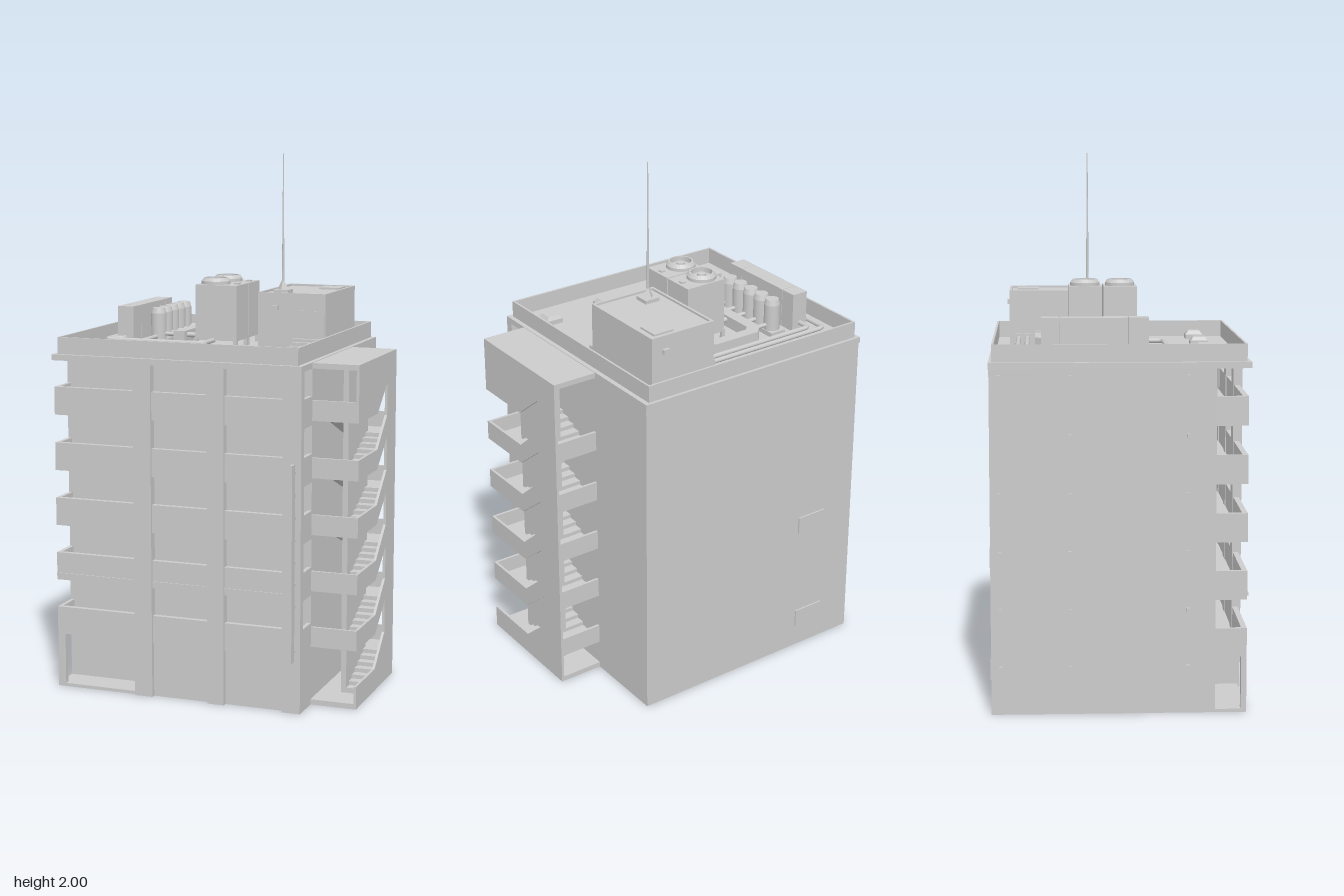
import * as THREE from 'three';

const mat = new THREE.MeshStandardMaterial({ color: 0xcccccc, flatShading: true });
const smooth = new THREE.MeshStandardMaterial({ color: 0xcccccc });

export function createModel() {
  const root = new THREE.Group();
  let group = root;
  const part = (name) => {
    group = new THREE.Group();
    group.name = name;
    root.add(group);
  };
  const add = (name, geo, m = mat) => {
    const mesh = new THREE.Mesh(geo, m);
    mesh.name = name;
    group.add(mesh);
    return mesh;
  };
  // Box given by its extents
  const box = (name, x0, x1, y0, y1, z0, z1) =>
    add(name, new THREE.BoxGeometry(x1 - x0, y1 - y0, z1 - z0))
      .position.set((x0 + x1) / 2, (y0 + y1) / 2, (z0 + z1) / 2);
  const cyl = (name, x, z, y0, y1, r0, r1 = r0, seg = 24) =>
    add(name, new THREE.CylinderGeometry(r1, r0, y1 - y0, seg), seg > 8 ? smooth : mat)
      .position.set(x, (y0 + y1) / 2, z);
  // Side profile of [z, y] points, extruded from x0 to x1
  const profile = (name, pts, x0, x1) => {
    const shape = new THREE.Shape(pts.map(([z, y]) => new THREE.Vector2(-z, y)));
    const geo = new THREE.ExtrudeGeometry(shape, { depth: x1 - x0, bevelEnabled: false });
    add(name, geo.rotateY(Math.PI / 2)).position.x = x0;
  };
  // Four thin walls around a rectangle
  const walls = (name, x0, x1, y0, y1, z0, z1, t) => {
    box(name, x0, x1, y0, y1, z0, z0 + t);
    box(name, x0, x1, y0, y1, z1 - t, z1);
    box(name, x0, x0 + t, y0, y1, z0 + t, z1 - t);
    box(name, x1 - t, x1, y0, y1, z0 + t, z1 - t);
  };
  // Round pipe through [x, z] points at one height, with rounded corners
  const pipe = (name, pts, y, r) => {
    const v = pts.map(([x, z]) => new THREE.Vector3(x, y, z));
    const path = new THREE.CurvePath();
    let from = v[0];
    for (let i = 1; i < v.length - 1; i++) {
      const a = v[i].clone().add(v[i - 1].clone().sub(v[i]).setLength(0.02));
      const b = v[i].clone().add(v[i + 1].clone().sub(v[i]).setLength(0.02));
      path.add(new THREE.LineCurve3(from, a));
      path.add(new THREE.QuadraticBezierCurve3(a, v[i], b));
      from = b;
    }
    path.add(new THREE.LineCurve3(from, v[v.length - 1]));
    add(name, new THREE.TubeGeometry(path, v.length > 2 ? 120 : 2, r, 10), smooth);
  };

  // Main block with its roof slab
  part('mainBlock');
  box('body', -0.57, 0.4, 0, 1.25, -0.485, 0.32);
  box('roofSlab', -0.575, 0.4, 1.25, 1.272, -0.487, 0.443);
  walls('roofParapet', -0.557, 0.382, 1.27, 1.335, -0.475, 0.428, 0.008);

  // Front piers and loggias, open from side to side
  part('frontLoggias');
  for (const [x0, x1] of [[-0.25, -0.18], [0.04, 0.105], [0.33, 0.4]])
    box('pier', x0, x1, 0, 1.25, 0.41, 0.443);
  for (let k = 0; k < 5; k++) {
    const y = 0.205 + 0.21 * k;
    box('balconyFloor', -0.57, 0.4, y, y + 0.015, 0.32, 0.42);
    box('balconyFront', -0.57, 0.4, y, y + 0.105, 0.413, 0.433);
    box('balconyEndLeft', 0.385, 0.4, y, y + 0.105, 0.32, 0.413);
    box('balconyEndRight', -0.57, -0.555, y, y + 0.105, 0.32, 0.413);
  }
  box('beltTrim', -0.57, 0.33, 0.43, 0.442, 0.42, 0.437);
  box('groundFloorWall', -0.2, 0.4, 0, 0.205, 0.32, 0.425);
  box('cornerPost', -0.57, -0.54, 0, 0.205, 0.413, 0.433);
  box('entranceSill', -0.57, -0.2, 0, 0.012, 0.32, 0.433);
  box('entranceSideWall', -0.25, -0.2, 0, 0.205, 0.32, 0.425);

  // Open stair tower
  part('stairTower');
  const outline = [[0.32, 0], [-0.165, 0], [-0.165, 1.27], [0.32, 1.27]];
  for (let k = 4; k >= 0; k--) {
    const t = 0.22 + 0.21 * k;
    outline.push([0.32, t], [0.08, t], [-0.047, t + 0.1],
      [-0.047, t - 0.025], [0.08, t - 0.135], [0.32, t - 0.135]);
  }
  // The bands become the outer railing of each flight
  profile('outerWall', outline, 0.565, 0.575);
  box('towerRoof', 0.4, 0.565, 1.25, 1.27, -0.165, 0.32);
  box('towerGround', 0.4, 0.565, 0, 0.02, -0.165, 0.32);
  box('stairCore', 0.48, 0.5, 0.02, 1.25, -0.05, 0.2);

  // Stepped flight rising from (z0, y0) to (z1, y1)
  const flight = (x0, x1, z0, y0, z1, y1) => {
    const n = 7, dz = (z1 - z0) / n, dy = (y1 - y0) / n, pts = [[z0, y0 - 0.012]];
    for (let i = 0; i < n; i++)
      pts.push([z0 + i * dz, y0 + (i + 1) * dy], [z0 + (i + 1) * dz, y0 + (i + 1) * dy]);
    pts.push([z1, y1 - 0.015]);
    profile('stairFlight', pts, x0, x1);
  };
  for (let k = 0; k < 5; k++) {
    const low = 0.025 + 0.21 * k, mid = low + 0.105, high = low + 0.21;
    flight(0.5, 0.565, 0.2, low, -0.05, mid);
    flight(0.4, 0.48, -0.05, mid, 0.2, high);
    box('frontLanding', 0.4, 0.565, high - 0.015, high, 0.2, 0.31);
    box('frontRailing', 0.4, 0.565, high - 0.015, high + 0.06, 0.31, 0.32);
    box('backLanding', 0.4, 0.565, mid - 0.015, mid, -0.155, -0.05);
    box('backRailing', 0.4, 0.565, mid - 0.015, mid + 0.06, -0.165, -0.155);
  }

  // Blade panel on the front corner
  part('bladePanel');
  box('panel', 0.374, 0.384, 0.2, 0.925, 0.462, 0.495);
  for (let i = 0; i < 9; i++)
    box('bracket', 0.377, 0.381, 0.23 + i * 0.082, 0.24 + i * 0.082, 0.44, 0.465);

  // Small fittings on the blank walls
  part('wallFittings');
  for (let k = 0; k < 6; k++)
    for (const z of [-0.45, -0.2, 0.22])
      box('wallVent', -0.58, -0.57, 0.165 + 0.21 * k, 0.178 + 0.21 * k, z - 0.006, z + 0.006);
  for (const y of [0.09, 0.51]) box('rearPlate', -0.435, -0.31, y, y + 0.07, -0.491, -0.485);

  // Rooftop plant room and mast
  part('plantRoom');
  box('room', 0.06, 0.33, 1.27, 1.472, -0.42, -0.045);
  walls('roomRim', 0.06, 0.33, 1.472, 1.48, -0.42, -0.045, 0.01);
  box('roofHatch', 0.217, 0.3, 1.47, 1.479, -0.392, -0.31);
  box('door', 0.205, 0.328, 1.27, 1.415, -0.046, -0.042);
  [0.01, -0.008, -0.026].forEach((z, i) =>
    box('doorStep', 0.205, 0.33, 1.27, 1.285 + i * 0.012, -0.045, z));
  box('wallLamp', 0.12, 0.145, 1.415, 1.432, -0.046, -0.03);
  box('rearVent', 0.26, 0.285, 1.412, 1.43, -0.432, -0.42);
  box('mastBase', 0.105, 0.165, 1.47, 1.486, -0.15, -0.09);
  cyl('mastFoot', 0.135, -0.12, 1.486, 1.52, 0.022, 0.005, 4);
  cyl('mast', 0.135, -0.12, 1.5, 2, 0.005, 0.002, 8);

  // Cooling towers with fan rings
  part('coolingTowers');
  const ring = [[0.055, 0], [0.055, 0.012], [0.046, 0.024], [0.04, 0.024], [0.04, 0.004]]
    .map(([r, y]) => new THREE.Vector2(r, y));
  for (const z of [-0.135, -0.005]) {
    box('casing', -0.155, 0.012, 1.3, 1.51, z - 0.062, z + 0.062);
    for (const sx of [-0.153, 0.005])
      for (const s of [-1, 1])
        box('leg', sx - 0.007, sx + 0.007, 1.27, 1.31, z + s * 0.057 - 0.007, z + s * 0.057 + 0.007);
    add('fanRing', new THREE.LatheGeometry(ring, 28),
      new THREE.MeshStandardMaterial({ color: 0xcccccc, flatShading: true, side: THREE.DoubleSide }))
      .position.set(-0.095, 1.51, z);
    cyl('fanHub', -0.095, z, 1.51, 1.527, 0.016);
    box('accessCap', -0.018, 0, 1.51, 1.516, z - 0.009, z + 0.009);
  }

  // Row of tanks, long cabinet and skylights
  part('roofEquipment');
  box('tankPlinth', -0.365, -0.3, 1.27, 1.29, -0.3, 0.035);
  for (let i = 0; i < 5; i++) {
    const z = -0.26 + 0.064 * i;
    cyl('tank', -0.332, z, 1.29, 1.39, 0.03);
    cyl('tankCap', -0.332, z, 1.39, 1.41, 0.03, 0.024);
    pipe('tankBranch', [[-0.31, z], [-0.24, z]], 1.31, 0.008);
  }
  for (const [z0, z1] of [[-0.3, -0.236], [-0.234, 0.011], [0.013, 0.085]])
    box('cabinet', -0.465, -0.4, 1.27, 1.42, z0, z1);
  for (let i = 0; i < 4; i++) {
    const x = -0.465 + 0.252 * i;
    box('skylightCurb', x - 0.034, x + 0.034, 1.27, 1.29, 0.27, 0.338);
    const lid = add('skylightLid', new THREE.CylinderGeometry(0.032, 0.045, 0.014, 4).rotateY(Math.PI / 4));
    lid.position.set(x, 1.297, 0.304);
  }

  // Pipes and duct
  part('roofPipes');
  pipe('outerPipe', [[0.06, -0.385], [-0.48, -0.385], [-0.48, 0.16], [-0.085, 0.16], [-0.085, 0.05]], 1.3, 0.009);
  pipe('innerPipe', [[0.06, -0.352], [-0.435, -0.352], [-0.435, -0.29]], 1.3, 0.009);
  pipe('cabinetPipe', [[-0.435, 0.07], [-0.435, 0.112], [-0.48, 0.112]], 1.3, 0.009);
  pipe('tankPipe', [[-0.332, 0.02], [-0.332, 0.16]], 1.3, 0.009);
  for (const z of [-0.135, -0.005]) pipe('towerBranch', [[-0.23, z], [-0.15, z]], 1.31, 0.01);
  const duct = new THREE.Shape([[0.06, 0.322], [-0.22, 0.322], [-0.257, 0.28], [-0.257, -0.03],
    [-0.212, -0.03], [-0.212, 0.262], [-0.195, 0.28], [0.06, 0.28]].map(([x, y]) => new THREE.Vector2(x, y)));
  add('duct', new THREE.ExtrudeGeometry(duct, { depth: 0.045, bevelEnabled: false })
    .rotateX(-Math.PI / 2)).position.y = 1.282;
  box('ductFlange', -0.022, -0.012, 1.272, 1.332, -0.327, -0.275);
  for (const z of [-0.385, -0.352]) box('pipeCollar', 0.038, 0.06, 1.285, 1.315, z - 0.014, z + 0.014);

  return root;
}
